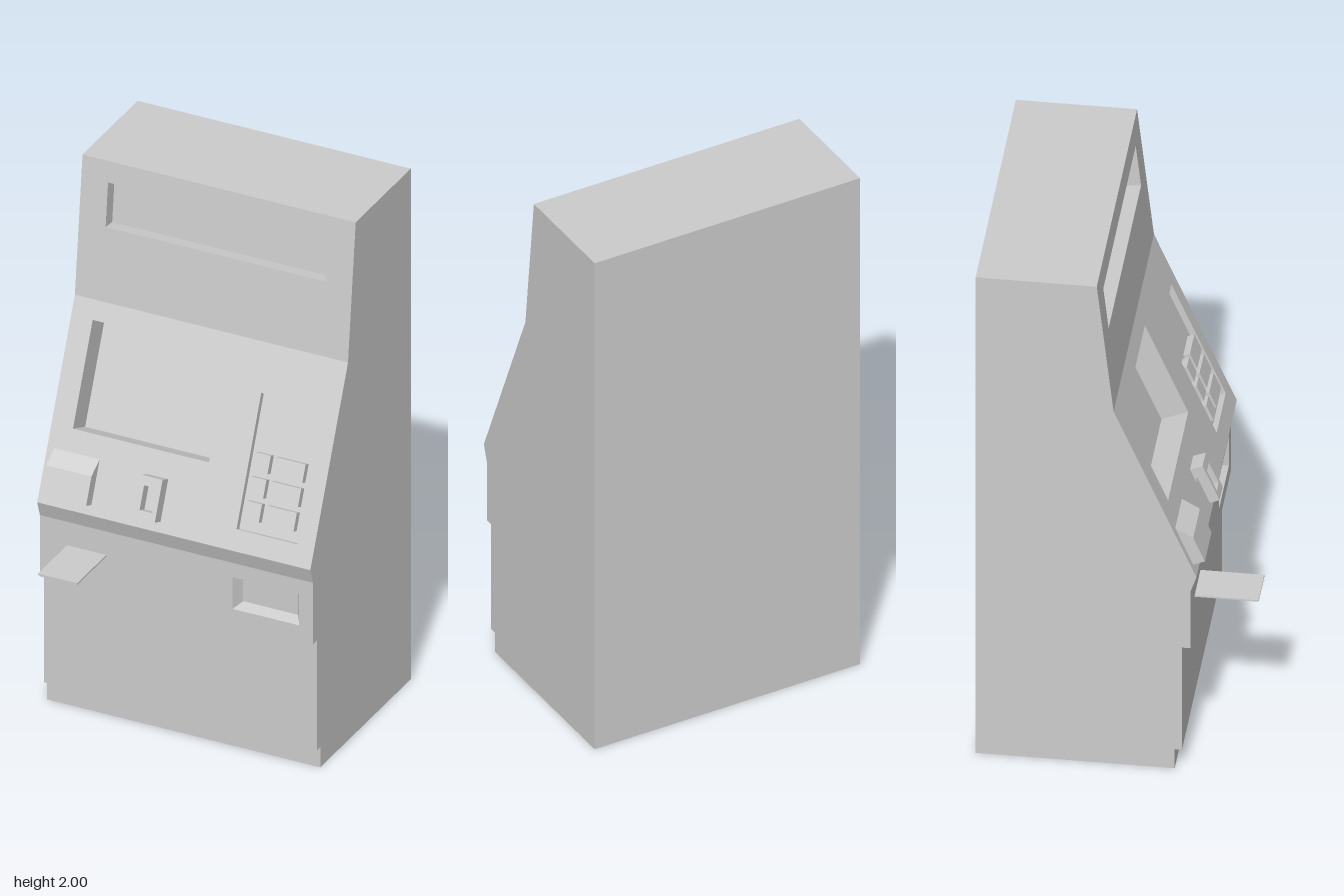
import * as THREE from 'three';

const HALF = 0.522;
const grey = new THREE.MeshStandardMaterial({ color: 0xcccccc, side: THREE.DoubleSide });
grey.name = 'grey';

// Cabinet side profile as [z, y], running up the front and down the back
const profile = [
  [0.205, 0], [0.205, 0.08], [0.23, 0.08], [0.23, 0.51], [0.26, 0.51], [0.26, 0.75],
  [0.28, 0.81], [-0.005, 1.48], [-0.063, 2], [-0.48, 2], [-0.48, 0],
];
const names = ['plinthFront', 'plinthStep', 'lowerDoor', 'doorStep', 'trayPanel', 'lip',
  'controlPanel', 'signPanel', 'roof', 'back', 'underside'];

function add(parent, geometry, name) {
  const mesh = new THREE.Mesh(geometry, grey);
  mesh.name = name;
  parent.add(mesh);
  return mesh;
}

// Rectangles are [x0, y0, x1, y1]; corners run counter-clockwise
const corners = ([x0, y0, x1, y1]) => [[x0, y0], [x1, y0], [x1, y1], [x0, y1]];
const rectPath = (r, Type) => new Type(corners(r).map(p => new THREE.Vector2(...p)));

// Flat sheet with rectangular openings
function sheet(rect, holes = []) {
  const shape = rectPath(rect, THREE.Shape);
  for (const h of holes) shape.holes.push(rectPath(h, THREE.Path));
  return new THREE.ShapeGeometry(shape);
}

// Walls from rectangle a at z0 to rectangle b at z1, closed at b unless open:
// a recess when z1 < z0, a raised block when z1 > z0
function pan(a, z0, b, z1, open = false) {
  const A = corners(a).map(p => [...p, z0]);
  const B = corners(b).map(p => [...p, z1]);
  const pos = [];
  const quad = (p, q, r, s) => pos.push(...p, ...q, ...r, ...p, ...r, ...s);
  for (let i = 0; i < 4; i++) {
    const j = (i + 1) % 4;
    quad(A[i], A[j], B[j], B[i]);
  }
  if (!open) quad(...B);
  const g = new THREE.BufferGeometry();
  g.setAttribute('position', new THREE.Float32BufferAttribute(pos, 3));
  g.computeVertexNormals();
  return g;
}

export function createModel() {
  const model = new THREE.Group();
  model.name = 'ticketMachine';

  // Openings in the front panels, measured along each panel
  const display = [-0.44, 0.277, 0.08, 0.658];
  const keypad = [0.225, 0.076, 0.46, 0.554];
  const sign = [-0.42, 0.277, 0.42, 0.443];
  const tray = [0.215, 0.06, 0.468, 0.185];
  const openings = { controlPanel: [display, keypad], signPanel: [sign], trayPanel: [tray] };

  // Cabinet skin: one sheet per profile segment, each in its own tilted frame
  const panels = {};
  profile.forEach(([z, y], i) => {
    const [z2, y2] = profile[(i + 1) % profile.length];
    const frame = new THREE.Group();
    frame.name = names[i] + 'Frame';
    frame.position.set(0, y, z);
    frame.rotation.x = Math.atan2(z2 - z, y2 - y);
    const length = Math.hypot(z2 - z, y2 - y);
    add(frame, sheet([-HALF, 0, HALF, length], openings[names[i]]), names[i]);
    panels[names[i]] = frame;
    model.add(frame);
  });

  // Cabinet sides
  for (const s of [1, -1]) {
    const shape = new THREE.Shape(profile.map(([z, y]) => new THREE.Vector2(-s * z, y)));
    const side = add(model, new THREE.ShapeGeometry(shape), s > 0 ? 'leftSide' : 'rightSide');
    side.rotation.y = s * Math.PI / 2;
    side.position.x = s * HALF;
  }

  // Recesses
  const control = panels.controlPanel;
  add(panels.signPanel, pan(sign, 0, sign, -0.05), 'signRecess');
  add(panels.trayPanel, pan(tray, 0, [0.235, 0.075, 0.447, 0.17], -0.04), 'ticketTray');
  add(control, pan(display, 0, display, -0.1), 'displayRecess');
  add(control, pan(keypad, 0, keypad, -0.022), 'keypadRecess');

  // Keypad buttons: a narrow and a wide column
  for (let row = 0; row < 3; row++) {
    const y = 0.116 + row * 0.085;
    for (const [x0, x1] of [[0.245, 0.303], [0.322, 0.436]]) {
      const r = [x0, y, x1, y + 0.065];
      add(control, pan(r, -0.022, r, 0.003), 'keypadButton');
    }
  }

  // Receipt printer with a sloping top
  add(control, pan([-0.495, 0.036, -0.322, 0.196], 0, [-0.495, 0.036, -0.322, 0.139], 0.043), 'receiptPrinter');

  // Card reader: raised block with a slot
  const reader = [-0.138, 0.037, -0.058, 0.187];
  const slot = [-0.122, 0.067, -0.073, 0.154];
  add(control, pan(reader, 0, reader, 0.047, true), 'cardReaderSides');
  add(control, sheet(reader, [slot]), 'cardReaderFace').position.z = 0.047;
  add(control, pan(slot, 0.047, slot, 0.007), 'cardReaderSlot');

  // Plates either side of the card reader
  for (const x of [-0.288, -0.02]) {
    add(control, sheet([x, 0.059, x + 0.114, 0.171]), 'infoPlate').position.z = 0.025;
  }

  // Shelf
  add(model, new THREE.BoxGeometry(0.15, 0.006, 0.22), 'shelf').position.set(-0.343, 0.655, 0.37);

  return model;
}
